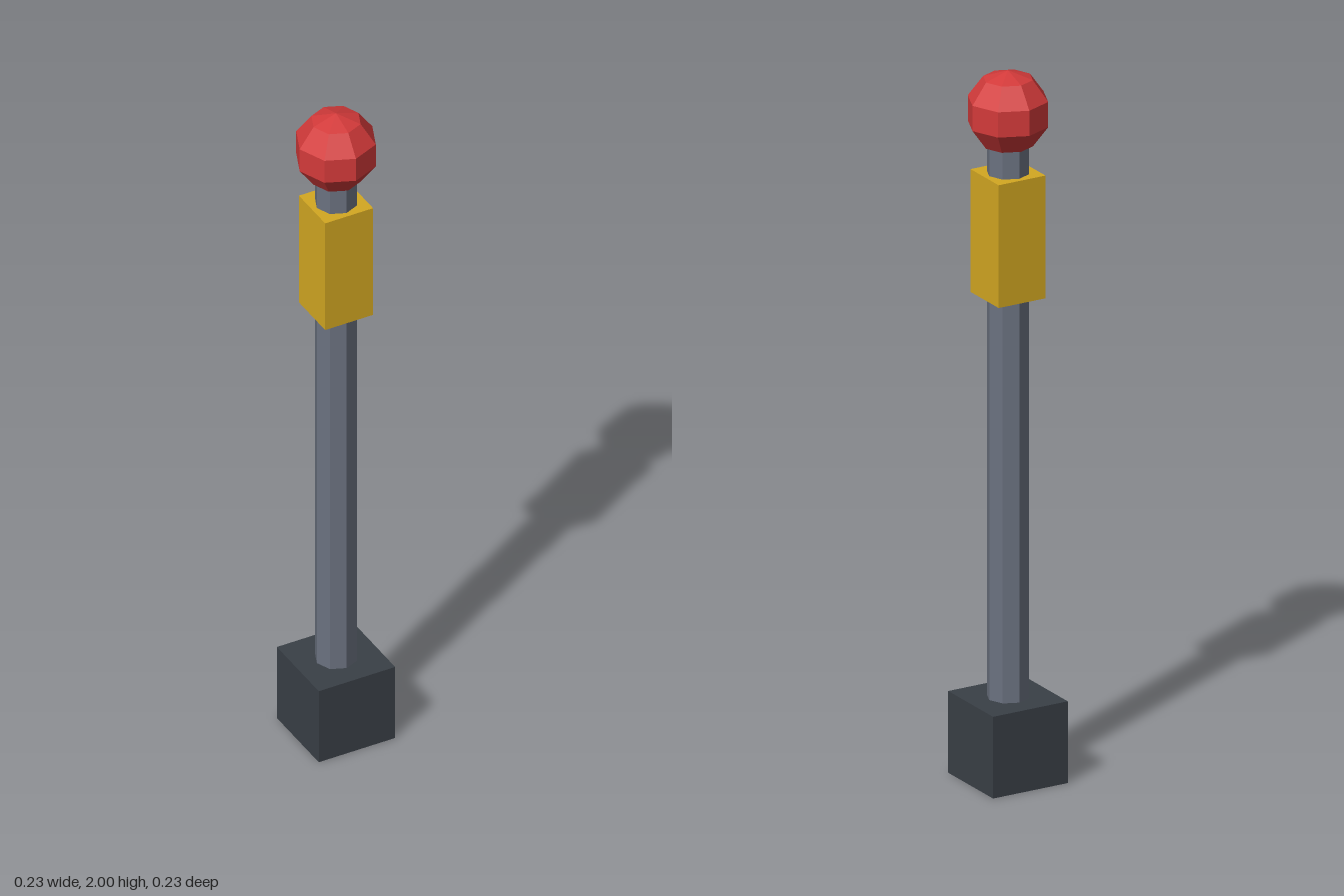
import * as THREE from 'three';

const material = (name, color) => {
  const m = new THREE.MeshStandardMaterial({ color, flatShading: true });
  m.name = name;
  return m;
};

export function createModel() {
  const group = new THREE.Group();
  group.name = 'lever';

  const darkGrey = material('dark grey', 0x3a4047);
  const steel = material('steel grey', 0x6b7280);
  const yellow = material('yellow', 0xd4a822);
  const red = material('red', 0xd33a3a);

  const add = (name, geometry, mat, y) => {
    const mesh = new THREE.Mesh(geometry, mat);
    mesh.name = name;
    mesh.position.y = y;
    group.add(mesh);
  };

  // Cube foot
  add('base', new THREE.BoxGeometry(0.231, 0.231, 0.231), darkGrey, 0.1155);

  // Eight-sided pole, running from the foot into the knob
  add('pole', new THREE.CylinderGeometry(0.058, 0.058, 1.65, 8), steel, 0.231 + 0.825);

  // Square sleeve around the pole
  add('sleeve', new THREE.BoxGeometry(0.145, 0.347, 0.145), yellow, 1.538);

  // Faceted ball on top
  add('knob', new THREE.SphereGeometry(0.1156, 8, 5), red, 1.8844);

  return group;
}
